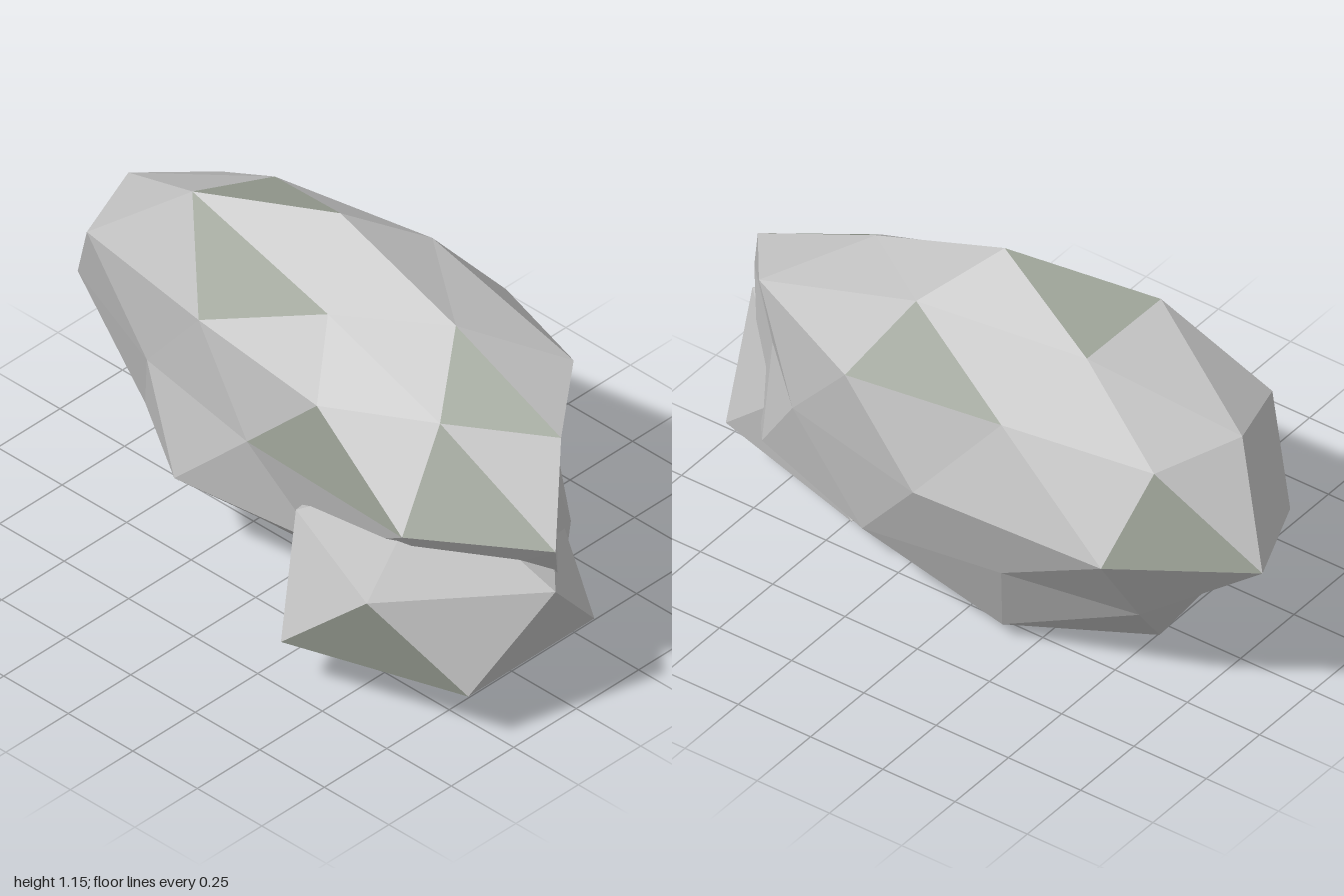
import * as THREE from 'three';

const stone = new THREE.MeshStandardMaterial({ color: 0xc0c0c0 });
stone.name = 'grey stone';
const moss = new THREE.MeshStandardMaterial({ color: 0x999f94 });
moss.name = 'mossy stone';

// Five points of an icosphere ring: height, first azimuth in degrees, radial factor per point
function ring(rock, y, start, factors) {
  const r = Math.sqrt(1 - y * y);
  return factors.map((f, k) => {
    const a = THREE.MathUtils.degToRad(start + 72 * k);
    return new THREE.Vector3(Math.cos(a) * r, y, Math.sin(a) * r)
      .multiplyScalar(f).multiply(rock.size).add(rock.centre);
  });
}

function pole(rock, f) {
  return new THREE.Vector3(0, f, 0).multiply(rock.size).add(rock.centre);
}

// Flat faceted mesh; faces whose index is in mossy get the second material
function facetMesh(name, faces, mossy) {
  const pos = [];
  const geo = new THREE.BufferGeometry();
  faces.forEach(([a, b, c], i) => {
    for (const p of [a, c, b]) pos.push(p.x, p.y, p.z);
    geo.addGroup(i * 3, 3, mossy.includes(i) ? 1 : 0);
  });
  geo.setAttribute('position', new THREE.Float32BufferAttribute(pos, 3));
  geo.computeVertexNormals();
  const mesh = new THREE.Mesh(geo, [stone, moss]);
  mesh.name = name;
  return mesh;
}

// Large boulder: once-subdivided icosphere with uneven radii
function largeBoulder() {
  const rock = {
    centre: new THREE.Vector3(0, 0.565, -0.09),
    size: new THREE.Vector3(1, 0.6, 0.463),
  };
  const T = pole(rock, 0.987), D = pole(rock, -0.935);
  const A = ring(rock, 0.851, 0, [0.85, 0.8, 1.02, 0.89, 0.92]);
  const B = ring(rock, 0.447, 0, [0.955, 0.88, 1.025, 0.95, 0.975]);
  const M = ring(rock, 0.526, 36, [0.83, 0.88, 0.967, 0.84, 0.99]);
  const E = ring(rock, 0, 18, [1.025, 0.81, 0.935, 1.07, 0.85]);
  const F = ring(rock, 0, 54, [1.055, 0.79, 1.055, 0.93, 0.76]);
  const N = ring(rock, -0.526, 0, [1, 0.85, 0.83, 0.9, 0.915]);
  const L = ring(rock, -0.447, 36, [0.88, 0.98, 0.83, 0.86, 0.93]);
  const R = ring(rock, -0.851, 36, [0.9, 0.84, 1.02, 1, 0.75]);
  const faces = [];
  for (let k = 0; k < 5; k++) {
    const n = (k + 1) % 5;
    faces.push(
      // cap
      [T, A[k], A[n]], [A[k], M[k], A[n]], [A[k], B[k], M[k]], [A[n], M[k], B[n]],
      // middle band
      [B[k], E[k], M[k]], [M[k], E[k], F[k]], [M[k], F[k], B[n]], [E[k], L[k], F[k]],
      [B[n], F[k], E[n]], [F[k], L[k], N[n]], [F[k], N[n], E[n]], [E[n], N[n], L[n]],
      // base
      [L[k], R[k], N[n]], [N[n], R[k], R[n]], [N[n], R[n], L[n]], [R[k], D, R[n]],
    );
  }
  // sixteen faces per fifth: fifth * 16 + face
  return facetMesh('largeBoulder', faces, [2, 5, 8, 16 + 1, 32, 32 + 8, 48 + 3]);
}

// Small boulder: plain icosahedron pushed into the side of the large one
function smallBoulder() {
  const rock = {
    centre: new THREE.Vector3(0.51, 0.318, 0.085),
    size: new THREE.Vector3(0.55, 0.31, 0.48),
  };
  const T = pole(rock, 0.9), D = pole(rock, -0.935);
  const B = ring(rock, 0.447, 0, [1, 0.985, 0.8, 0.9, 0.87]);
  const L = ring(rock, -0.447, 36, [1, 1.045, 0.8, 1, 1]);
  const faces = [];
  for (let k = 0; k < 5; k++) {
    const n = (k + 1) % 5;
    faces.push([T, B[k], B[n]], [B[k], L[k], B[n]], [B[n], L[k], L[n]], [L[k], D, L[n]]);
  }
  return facetMesh('smallBoulder', faces, [2]);
}

export function createModel() {
  const group = new THREE.Group();
  group.name = 'boulders';
  group.add(largeBoulder(), smallBoulder());
  return group;
}
